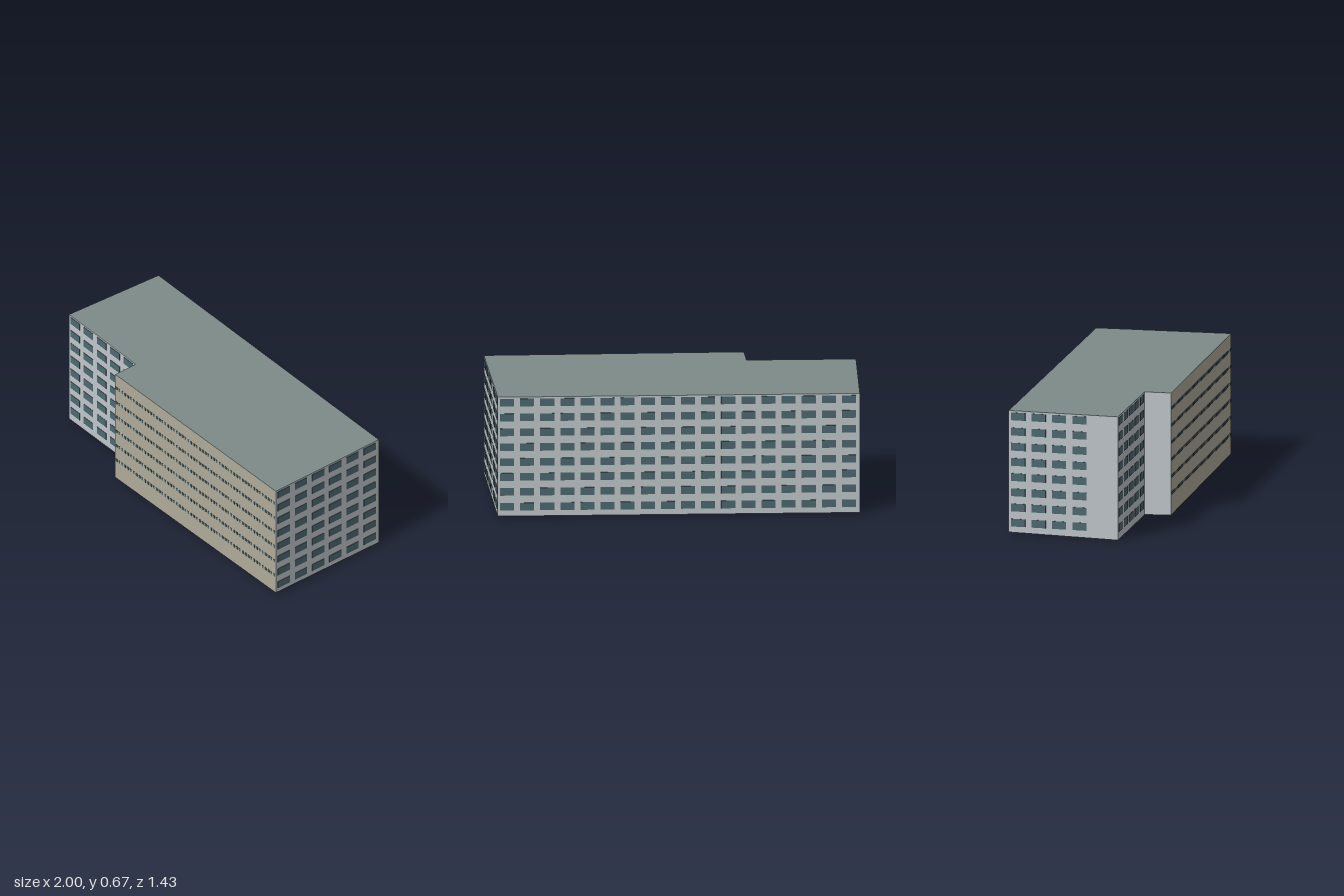
import * as THREE from 'three';
import { mergeGeometries } from 'three/addons/utils/BufferGeometryUtils.js';

const HEIGHT = 0.672;

// Footprint corners: x, z and ground height, each wall running left to right seen from outside
const F = [-1, -0.165, 0];
const E = [-0.465, 0.06, 0.003];
const D = [-0.512, 0.195, 0.008];
const C = [0.765, 0.712, 0.018];
const B = [1, 0.025, 0.01];
const A = [-0.77, -0.715, 0.01];
const corners = [F, E, D, C, B, A];

const material = (name, color) => {
  const m = new THREE.MeshStandardMaterial({ color });
  m.name = name;
  return m;
};

// One upright wall following the sloping ground line
function wallGeometry(a, b) {
  const g = new THREE.BufferGeometry();
  g.setAttribute('position', new THREE.Float32BufferAttribute([
    a[0], a[2], a[1], b[0], b[2], b[1],
    b[0], HEIGHT, b[1], a[0], HEIGHT, a[1],
  ], 3));
  g.setIndex([0, 1, 2, 0, 2, 3]);
  g.computeVertexNormals();
  return g;
}

// A grid of thin panes on the wall from a to b
function paneGeometry(a, b, o) {
  const dx = b[0] - a[0], dz = b[1] - a[1];
  const length = Math.hypot(dx, dz);
  const cell = (length * (o.span ?? 1)) / o.columns;
  const panes = [];
  for (let row = 0; row < o.rows; row++) {
    for (let col = 0; col < o.columns; col++) {
      const pane = new THREE.BoxGeometry(cell * o.width, o.height, 0.004);
      pane.translate(cell * (col + o.offset), o.bottom + o.pitch * row, 0);
      panes.push(pane);
    }
  }
  const g = mergeGeometries(panes);
  g.rotateY(Math.atan2(-dz, dx));
  g.translate(a[0], 0, a[1]);
  return g;
}

// Flat slab outline; side +1 faces up, -1 faces down
function slabGeometry(side) {
  const shape = new THREE.Shape(corners.map(([x, z]) => new THREE.Vector2(x, -side * z)));
  return new THREE.ShapeGeometry(shape).rotateX(-side * Math.PI / 2);
}

export function createModel() {
  const building = new THREE.Group();
  building.name = 'officeBlock';
  const grey = material('pale grey wall', 0xc0c7cb);
  const beige = material('beige cladding', 0xb0ac9a);
  const glass = material('teal glass', 0x4d6971);
  const roofing = material('grey green roof', 0x7d8b88);

  const add = (name, geometry, mat) => {
    const mesh = new THREE.Mesh(geometry, mat);
    mesh.name = name;
    building.add(mesh);
  };

  // Walls
  add('frontWingWall', wallGeometry(F, E), grey);
  add('notchWall', wallGeometry(E, D), grey);
  add('frontCladWall', wallGeometry(D, C), beige);
  add('leftEndWall', wallGeometry(C, B), grey);
  add('backWall', wallGeometry(B, A), grey);
  add('rightEndWall', wallGeometry(A, F), grey);

  // Office windows, eight storeys
  const office = { rows: 8, pitch: 0.0827, bottom: 0.0625, height: 0.042, width: 0.7, offset: 0.46 };
  add('frontWingWindows', paneGeometry(F, E, { ...office, columns: 5 }), glass);
  add('leftEndWindows', paneGeometry(C, B, { ...office, columns: 6 }), glass);
  add('backWindows', paneGeometry(B, A, { ...office, columns: 18 }), glass);
  add('rightEndWindows', paneGeometry(A, F, { ...office, columns: 4, span: 0.75 }), glass);

  // Rows of small vents in the clad front
  add('frontSlots', paneGeometry(D, C, {
    rows: 6, pitch: 0.0925, bottom: 0.126, height: 0.016, columns: 56, width: 0.5, offset: 0.5,
  }), glass);

  // Roof and sloping underside
  add('roof', slabGeometry(1).translate(0, HEIGHT, 0), roofing);
  const base = slabGeometry(-1);
  const p = base.attributes.position;
  for (let i = 0; i < p.count; i++) {
    const corner = corners.find(([x]) => Math.abs(x - p.getX(i)) < 1e-4);
    p.setY(i, corner[2]);
  }
  base.computeVertexNormals();
  add('base', base, grey);

  return building;
}
